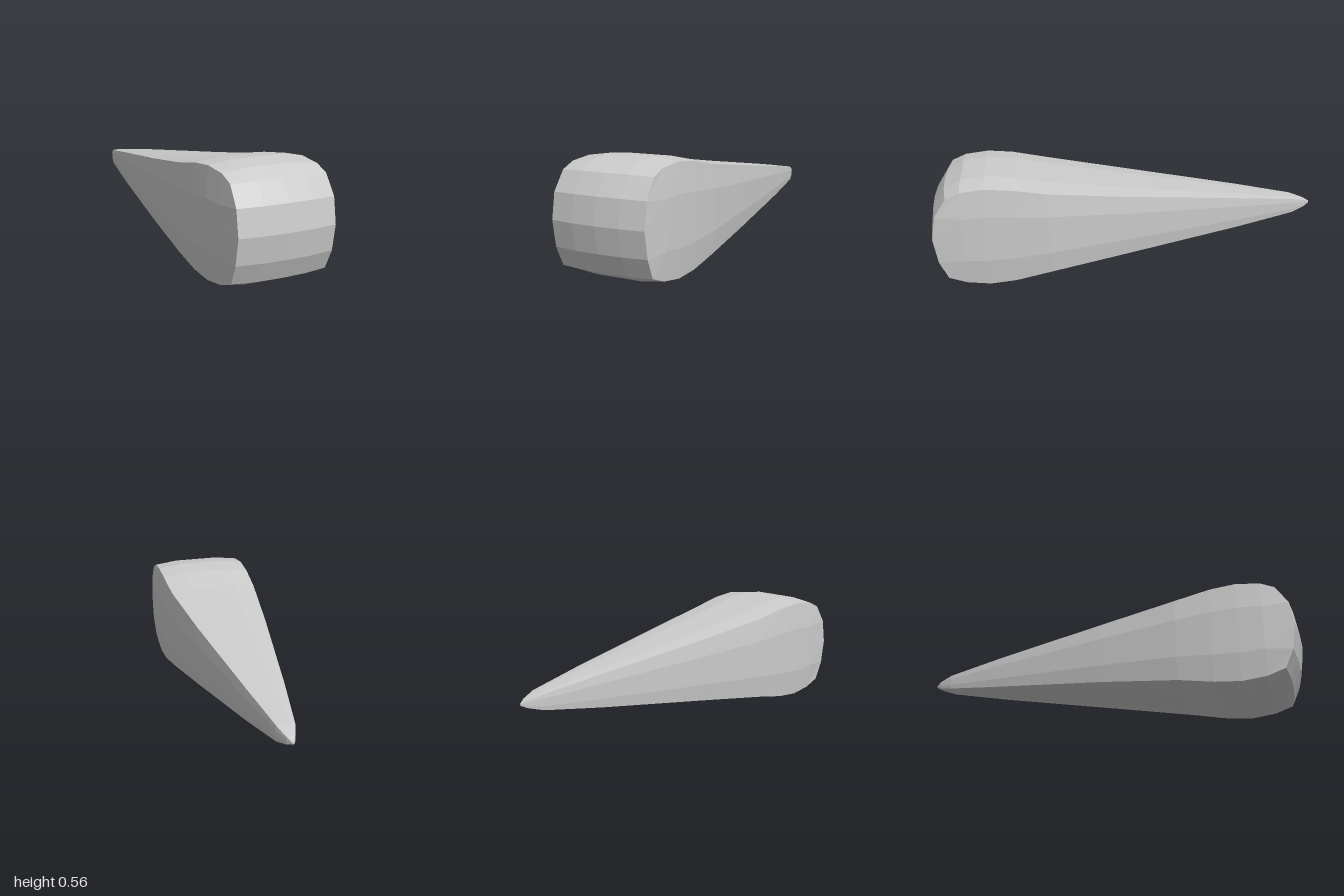
import * as THREE from 'three';

// Stations from the pointed tip to the blunt front: [z, half width, half height]
const STATIONS = [
  [-1, 0.003, 0.005], [-0.97, 0.021, 0.02], [-0.9, 0.046, 0.041], [-0.6, 0.1, 0.088],
  [0, 0.197, 0.173], [0.4, 0.252, 0.234], [0.58, 0.262, 0.27],
  [0.71, 0.264, 0.282], [0.83, 0.262, 0.267], [0.92, 0.25, 0.223],
];
const CENTRE_Y = 0.283;

// A box lofted through the stations, with softly bowed sides
function taperedBody() {
  const n = STATIONS.length - 1;
  const geo = new THREE.BoxGeometry(2, 2, n, 4, 4, n);
  const pos = geo.attributes.position;
  for (let i = 0; i < pos.count; i++) {
    const u = pos.getX(i), v = pos.getY(i);
    const s = Math.round(pos.getZ(i) + n / 2);
    const [z0, w, h] = STATIONS[s];
    const rim = s === n;
    const mid = rim ? 0.57 : 0.46; // height of the intermediate rows
    const yRow = Math.abs(v) > 0.75 ? v : Math.sign(v) * (Math.abs(v) > 0.25 ? mid : 0);
    const pinch = rim ? 0.015 : 0.06; // corners drawn inward
    const edge = t => Math.max(0, Math.abs(t) * 2 - 1);
    const x = u * w * (1 - pinch * edge(v));
    const y = CENTRE_Y + yRow * h * (1 - pinch * edge(u));
    let z = z0;
    if (rim) {
      // Front cap bulges forward, mostly over its height
      const a = Math.abs(v);
      z = a > 0.75 ? (v > 0 ? 0.92 : 0.938) : a > 0.25 ? 0.98 : 1;
      z -= 0.005 * Math.min(1, Math.abs(u) * 2) + 0.015 * edge(u);
    }
    pos.setXYZ(i, x, y, z);
  }
  geo.computeVertexNormals();
  return geo;
}

export function createModel() {
  const group = new THREE.Group();
  group.name = 'taperedWedge';
  const body = new THREE.Mesh(
    taperedBody(),
    new THREE.MeshStandardMaterial({ color: 0xcccccc, flatShading: true })
  );
  body.name = 'body';
  group.add(body);
  return group;
}
